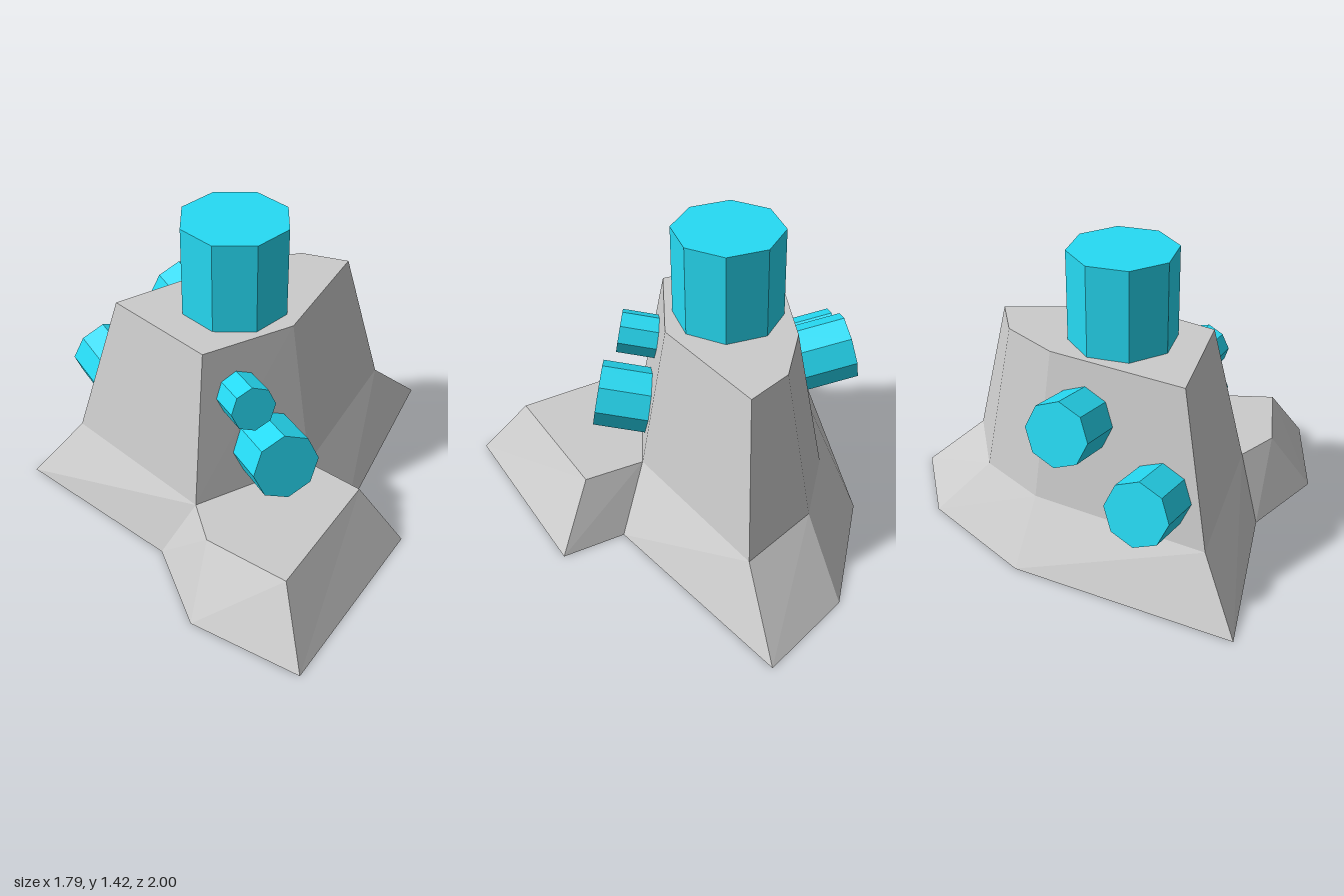
import * as THREE from 'three';

const grey = new THREE.MeshStandardMaterial({ color: 0xcccccc, flatShading: true });
const cyan = new THREE.MeshStandardMaterial({ color: 0x26dbf4, flatShading: true });

// Outlines as [x, z], counterclockwise seen from above, starting at the front-left tip.
const FOOT = [[-0.9, 0.38], [-0.08, 0.615], [0.225, 0.935], [0.75, 0.995], [0.89, 0.085],
  [0.6, 0.02], [0.6, -1], [0.14, -0.93], [-0.35, -0.545]];
const SHOULDER = [[-0.67, 0.28], [0.07, 0.555], [0.205, 0.725], [0.6, 0.8], [0.69, 0.16],
  [0.42, 0.09], [0.47, -0.705], [0.08, -0.66], [-0.205, -0.44]];
const SUMMIT = [[-0.48, 0.2], [0.035, 0.39], [0.3, 0.04], [0.335, -0.555], [0.11, -0.53], [-0.12, -0.35]];

const lift = (outline, y) => outline.map(([x, z]) => new THREE.Vector3(x, y, z));

// Sloping walls between two rings with the same number of corners
function walls(low, high) {
  return low.flatMap((p, i) => {
    const j = (i + 1) % low.length;
    return [p, low[j], high[j], p, high[j], high[i]];
  });
}

// Flat polygon facing up, or down when flipped
function cap(ring, flip = false) {
  const flat = ring.map((p) => new THREE.Vector2(p.x, -p.z));
  return THREE.ShapeUtils.triangulateShape(flat, [])
    .flatMap(([a, b, c]) => (flip ? [a, c, b] : [a, b, c]).map((k) => ring[k]));
}

function solid(name, corners) {
  const geometry = new THREE.BufferGeometry().setFromPoints(corners);
  geometry.computeVertexNormals();
  const mesh = new THREE.Mesh(geometry, grey);
  mesh.name = name;
  return mesh;
}

// Eight-sided peg whose outer cap is centred on tip and faces along dir
function peg(name, tip, dir, radius, length) {
  const geometry = new THREE.CylinderGeometry(radius, radius, length, 8);
  geometry.rotateX(Math.PI / 2).translate(0, 0, -length / 2);
  const mesh = new THREE.Mesh(geometry, cyan);
  mesh.name = name;
  mesh.position.set(...tip);
  mesh.lookAt(mesh.position.clone().add(new THREE.Vector3(...dir)));
  return mesh;
}

export function createModel() {
  const model = new THREE.Group();
  model.name = 'rockWithPegs';

  const foot = lift(FOOT, 0);
  const shoulder = lift(SHOULDER, 0.3);
  const summit = lift(SUMMIT, 1);
  const towerFoot = [0, 1, 5, 6, 7, 8].map((i) => shoulder[i]);

  // Flared base with the ledge at the front right corner
  model.add(solid('base', [...walls(foot, shoulder), ...cap(foot, true), ...cap(shoulder.slice(1, 6))]));

  // Tapered tower
  model.add(solid('tower', [...walls(towerFoot, summit), ...cap(summit)]));

  // Large upright peg on top
  const top = new THREE.Mesh(new THREE.CylinderGeometry(0.247, 0.247, 0.424, 8), cyan);
  top.name = 'topPeg';
  top.position.set(-0.005, 1.212, -0.023);
  top.rotation.y = 0.03;
  model.add(top);

  // Pegs set square to the sloping walls
  const overLedge = [0.73, 0.18, 0.66];
  const backWall = [-0.85, 0.2, -0.5];
  model.add(
    peg('ledgePegLarge', [0.43, 0.532, 0.4], overLedge, 0.154, 0.3),
    peg('ledgePegSmall', [0.28, 0.807, 0.412], overLedge, 0.102, 0.23),
    peg('backPegUpper', [-0.46, 0.785, -0.335], backWall, 0.15, 0.3),
    peg('backPegLower', [-0.715, 0.545, -0.02], backWall, 0.15, 0.3),
  );
  return model;
}
